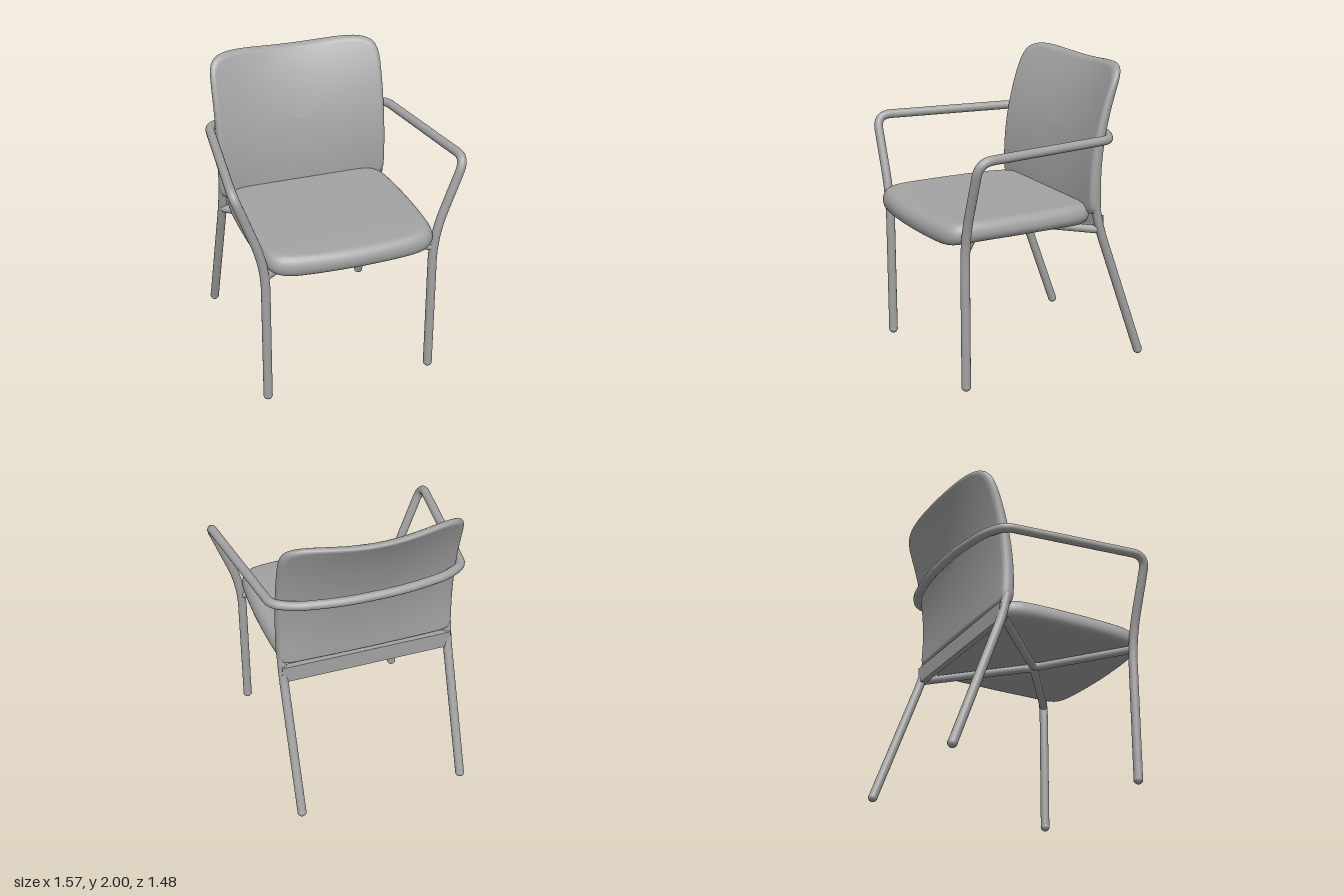
import * as THREE from 'three';

const material = new THREE.MeshStandardMaterial({ color: 0xa3a3a3 });
const V = (x, y, z) => new THREE.Vector3(x, y, z);
const TUBE_R = 0.03;

function addMesh(parent, geometry, name) {
  const mesh = new THREE.Mesh(geometry, material);
  mesh.name = name;
  parent.add(mesh);
  return mesh;
}

// Bent steel tube: straight runs joined by rounded bends.
// Each point is [x, y, z, bend length].
function bentTube(points, segments, radius = TUBE_R) {
  const path = new THREE.CurvePath();
  const p = points.map(([x, y, z]) => V(x, y, z));
  let from = p[0];
  for (let i = 1; i < p.length - 1; i++) {
    const toPrev = p[i - 1].clone().sub(p[i]);
    const toNext = p[i + 1].clone().sub(p[i]);
    const d = Math.min(points[i][3], toPrev.length() * 0.49, toNext.length() * 0.49);
    const a = p[i].clone().add(toPrev.setLength(d));
    const b = p[i].clone().add(toNext.setLength(d));
    path.add(new THREE.LineCurve3(from, a));
    path.add(new THREE.QuadraticBezierCurve3(a, p[i], b));
    from = b;
  }
  path.add(new THREE.LineCurve3(from, p[p.length - 1]));
  return new THREE.TubeGeometry(path, segments, radius, 16);
}

// Upholstered pad: rings of a rounded square run over the top face, round
// the edge and under the bottom; warp(u, v, h) places each vertex.
function pad(edge, cornerPower, warp) {
  const around = 128;
  const rings = [];
  const inner = [0, 0.2, 0.4, 0.6, 0.78];
  inner.forEach((s) => rings.push([s, 1]));
  for (let i = 0; i <= 12; i++) {
    const t = (i / 12) * Math.PI;
    rings.push([1 - edge + edge * Math.sin(t), Math.cos(t)]);
  }
  [...inner].reverse().forEach((s) => rings.push([s, -1]));

  const positions = [];
  const index = [];
  rings.forEach(([s, h], r) => {
    for (let j = 0; j < around; j++) {
      const a = (j / around) * Math.PI * 2;
      const c = Math.cos(a);
      const d = Math.sin(a);
      const n = cornerPower(d);
      const k = s * Math.pow(Math.abs(c) ** n + Math.abs(d) ** n, -1 / n);
      positions.push(...warp(c * k, d * k, h));
      if (r === 0) continue;
      const j2 = (j + 1) % around;
      const i0 = (r - 1) * around;
      const i1 = r * around;
      index.push(i0 + j, i1 + j2, i1 + j, i0 + j, i0 + j2, i1 + j2);
    }
  });
  const geometry = new THREE.BufferGeometry();
  geometry.setAttribute('position', new THREE.Float32BufferAttribute(positions, 3));
  geometry.setIndex(index);
  geometry.computeVertexNormals();
  return geometry;
}

// Seat: bowed front edge, bulging sides, dished top, slightly hollow underside
function seatWarp(u, v, h) {
  const front = Math.max(0, v);
  const x = u * (0.587 - 0.028 * v * v);
  const z = 0.19 + 0.55 * v - 0.05 * u * u * front * front;
  const dish = h > 0 ? 0.012 * h * (1 - u * u) * (0.4 + 0.6 * front) : 0;
  const hollow = h < 0 ? -0.018 * h * (1 - v ** 4) : 0;
  const y = 1.028 + 0.077 * h - dish + hollow - 0.015 * Math.pow(front, 6);
  return [x, y, z];
}

// Backrest: leans back more towards the top and curves round the sitter
function backWarp(u, v, h) {
  const y0 = 1.515 + 0.485 * v;
  const t = (y0 - 1.03) / 0.97;
  const dip = Math.pow(1 - Math.min(1, Math.abs(u) / 0.78) ** 2, 2);
  const y = y0 - 0.024 * dip * Math.pow(Math.max(0, v), 4);
  const face = -0.295 - 0.18 * ((y0 - 1.2) / 0.8) ** 2;
  const wrap = (0.01 + 0.09 * t) * (1 - u * u);
  const thickness = 0.092 - 0.03 * t;
  return [-0.6 * u, y, face - wrap - thickness * (1 - h) / 2];
}

export function createModel() {
  const chair = new THREE.Group();
  chair.name = 'armchair';

  addMesh(chair, pad(0.11, () => 10, seatWarp), 'seat');
  addMesh(chair, pad(0.06, (d) => (d > 0 ? 10 : 24), backWarp), 'backrest');

  // One continuous tube: front leg, armrest, round the back, and mirrored
  const half = [
    [0.57, 0.03, 0.6, 0],
    [0.57, 1.01, 0.6, 0.19],
    [0.767, 1.54, 0.6, 0.1],
    [0.637, 1.54, -0.395, 0.06],
    [0.5, 1.54, -0.472, 0.1],
    [0.2, 1.54, -0.525, 0.15],
  ];
  const mirrored = half.map(([x, y, z, d]) => [-x, y, z, d]).reverse();
  addMesh(chair, bentTube([...half, ...mirrored], 420), 'frontLegsAndArms');

  for (const side of [1, -1]) {
    const name = side > 0 ? 'left' : 'right';

    // Splayed rear leg, ending inside the foot of the backrest
    addMesh(chair, bentTube([
      [side * 0.57, 0.03, -0.708, 0],
      [side * 0.57, 0.93, -0.382, 0.12],
      [side * 0.57, 1.1, -0.345, 0],
    ], 40), name + 'RearLeg');

    // Under-seat brace, bent inwards to meet its twin in the middle
    addMesh(chair, bentTube([
      [side * 0.57, 0.932, 0.6, 0],
      [side * 0.002, 0.932, 0.18, 0.06],
      [side * 0.57, 0.932, -0.37, 0],
    ], 80, 0.027), name + 'SeatBrace');

    // Rounded feet
    for (const [z, part] of [[0.6, 'FrontFoot'], [-0.708, 'RearFoot']]) {
      addMesh(chair, new THREE.SphereGeometry(0.031, 16, 12), name + part)
        .position.set(side * 0.57, 0.031, z);
    }
  }

  // Flat rail joining the rear legs below the backrest
  addMesh(chair, new THREE.BoxGeometry(1.16, 0.115, 0.04), 'rearRail')
    .position.set(0, 0.965, -0.385);

  return chair;
}
